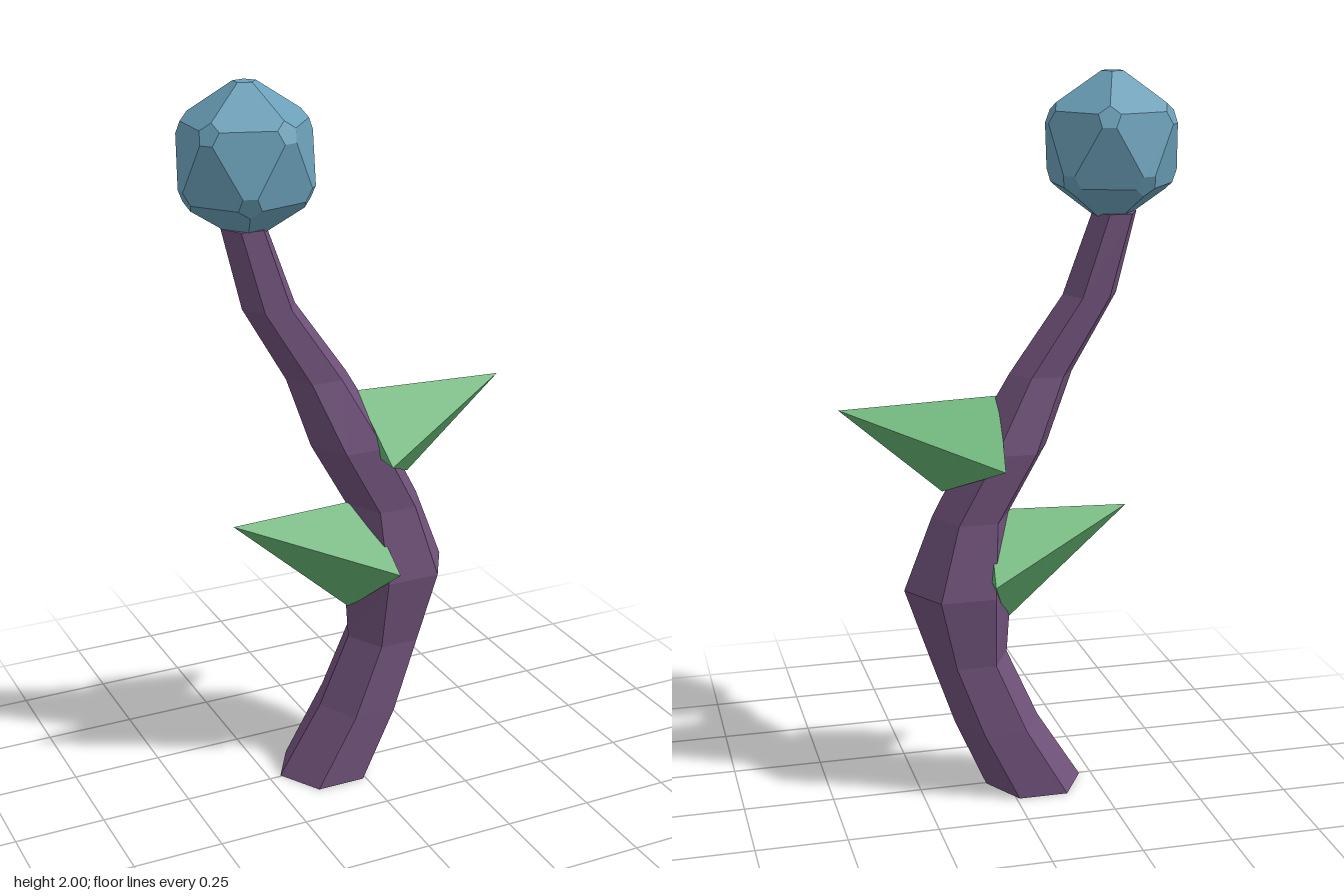
import * as THREE from 'three';
import { ConvexGeometry } from 'three/addons/geometries/ConvexGeometry.js';

const material = (color) => new THREE.MeshStandardMaterial({ color, flatShading: true });

function addMesh(group, name, geometry, mat) {
  const mesh = new THREE.Mesh(geometry, mat);
  mesh.name = name;
  group.add(mesh);
  return mesh;
}

// Loft of level hexagons: each section is [centre x, y, radius x, radius z]
function stalkGeometry(sections, sides = 6) {
  const positions = [], index = [];
  for (const [cx, y, rx, rz] of sections) {
    for (let i = 0; i < sides; i++) {
      const a = (i / sides) * Math.PI * 2;
      positions.push(cx + rx * Math.cos(a), y, rz * Math.sin(a) - 0.005);
    }
  }
  for (let s = 0; s < sections.length - 1; s++) {
    for (let i = 0; i < sides; i++) {
      const a = s * sides + i, b = s * sides + (i + 1) % sides;
      index.push(a, a + sides, b, b, a + sides, b + sides);
    }
  }
  // End caps
  const top = (sections.length - 1) * sides;
  for (let i = 1; i < sides - 1; i++) {
    index.push(0, i, i + 1, top, top + i + 1, top + i);
  }
  const geometry = new THREE.BufferGeometry();
  geometry.setAttribute('position', new THREE.Float32BufferAttribute(positions, 3));
  geometry.setIndex(index);
  const flat = geometry.toNonIndexed();
  flat.computeVertexNormals();
  return flat;
}

// Four-sided thorn-like leaf from its tip, base top, base bottom and mirrored side corners
function leafGeometry(tip, top, bottom, side) {
  return new ConvexGeometry([
    new THREE.Vector3(...tip, 0),
    new THREE.Vector3(...top, 0),
    new THREE.Vector3(...bottom, 0),
    new THREE.Vector3(...side, 0.178),
    new THREE.Vector3(...side, -0.178),
  ]);
}

// Icosahedron standing on a vertex, with every corner cut off
function bulbGeometry(cut) {
  const corners = [new THREE.Vector3(0, 1, 0), new THREE.Vector3(0, -1, 0)];
  const h = 1 / Math.sqrt(5);
  for (let i = 0; i < 10; i++) {
    const a = (i * Math.PI) / 5;
    corners.push(new THREE.Vector3(2 * h * Math.cos(a), i % 2 ? -h : h, 2 * h * Math.sin(a)));
  }
  const points = [];
  for (const a of corners) {
    for (const b of corners) {
      const d = a.distanceTo(b);
      if (d > 0.1 && d < 1.2) points.push(a.clone().lerp(b, cut));
    }
  }
  return new ConvexGeometry(points);
}

export function createModel() {
  const group = new THREE.Group();
  group.name = 'plant';

  // Crooked stalk, tapering upward
  addMesh(group, 'stalk', stalkGeometry([
    [-0.078, 0, 0.138, 0.136],
    [0.03, 0.2, 0.12, 0.132],
    [0.11, 0.4, 0.11, 0.12],
    [0.138, 0.605, 0.152, 0.153],
    [0.103, 0.81, 0.108, 0.118],
    [0.0, 1.0, 0.112, 0.127],
    [-0.095, 1.2, 0.088, 0.083],
    [-0.23, 1.41, 0.075, 0.078],
    [-0.297, 1.63, 0.062, 0.073],
  ]), material(0x6f5179));

  // Two leaves on opposite sides
  const green = material(0x62b070);
  addMesh(group, 'upperLeaf',
    leafGeometry([0.46, 1.125], [0.02, 1.14], [0.18, 0.88], [0.045, 0.973]), green);
  addMesh(group, 'lowerLeaf',
    leafGeometry([-0.345, 0.805], [0.05, 0.818], [0.0, 0.495], [0.072, 0.652]), green);

  // Faceted bulb at the top
  const bulb = addMesh(group, 'bulb', bulbGeometry(0.17), material(0x6a9fb8));
  bulb.geometry.scale(0.206, 0.218, 0.193);
  bulb.geometry.computeVertexNormals();
  bulb.position.set(-0.288, 1.803, 0);

  return group;
}
